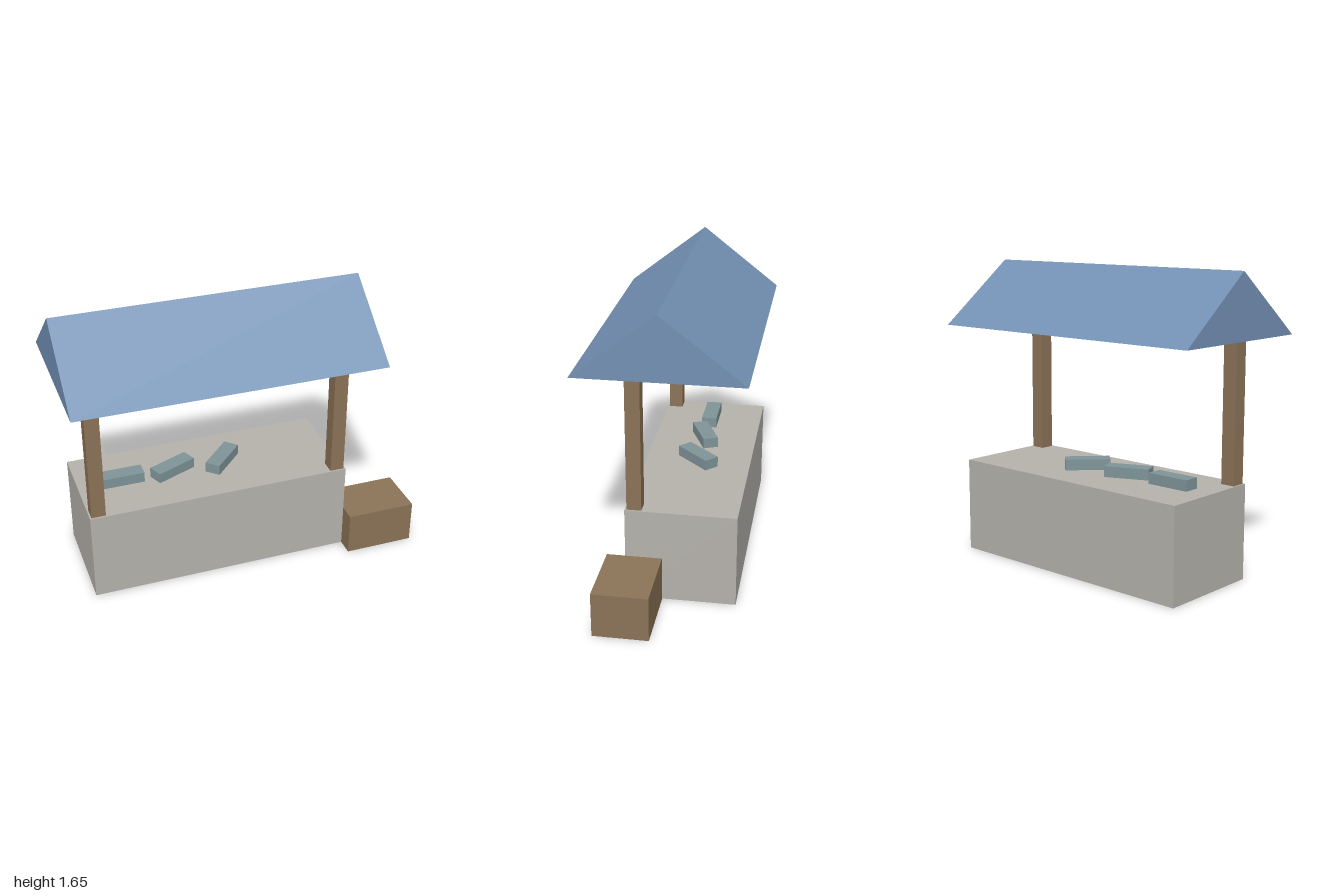
import * as THREE from 'three';

const material = (name, color) => {
  const m = new THREE.MeshStandardMaterial({ color });
  m.name = name;
  return m;
};

export function createModel() {
  const stone = material('counterGrey', 0xb5b2ac);
  const wood = material('woodBrown', 0x8b7357);
  const cloth = material('roofBlue', 0x7390b4);
  const metal = material('waresGreyBlue', 0x7f9499);

  const group = new THREE.Group();
  group.name = 'marketStall';

  // Box whose base is centred on (x, y, z)
  const box = (name, mat, [w, h, d], [x, y, z], turn = 0) => {
    const mesh = new THREE.Mesh(new THREE.BoxGeometry(w, h, d), mat);
    mesh.name = name;
    mesh.position.set(x, y + h / 2, z);
    mesh.rotation.y = turn;
    group.add(mesh);
  };

  // Counter and the crate beside it
  box('counter', stone, [1.5, 0.525, 0.6], [-0.15, 0, -0.1]);
  box('crate', wood, [0.4, 0.25, 0.3], [0.8, 0, 0.15]);

  // Two front posts run from the ground to the roof
  box('rightPost', wood, [0.08, 1.3, 0.08], [-0.85, 0, 0.15]);
  box('leftPost', wood, [0.08, 1.3, 0.08], [0.55, 0, 0.15]);

  // Wares on the counter, each turned a little further
  for (let i = 0; i < 3; i++) {
    box(`ware${i + 1}`, metal, [0.25, 0.06, 0.088], [-0.65 + i * 0.3, 0.525, -0.1], i * 0.4);
  }

  // Closed gable roof: a triangle extruded along x
  const gable = new THREE.Shape([
    new THREE.Vector2(-0.45, 1.3),
    new THREE.Vector2(0.45, 1.3),
    new THREE.Vector2(0, 1.65),
  ]);
  const roofGeometry = new THREE.ExtrudeGeometry(gable, { depth: 1.7, bevelEnabled: false });
  roofGeometry.rotateY(Math.PI / 2).translate(-1, 0, 0);
  const roof = new THREE.Mesh(roofGeometry, cloth);
  roof.name = 'roof';
  group.add(roof);

  return group;
}
